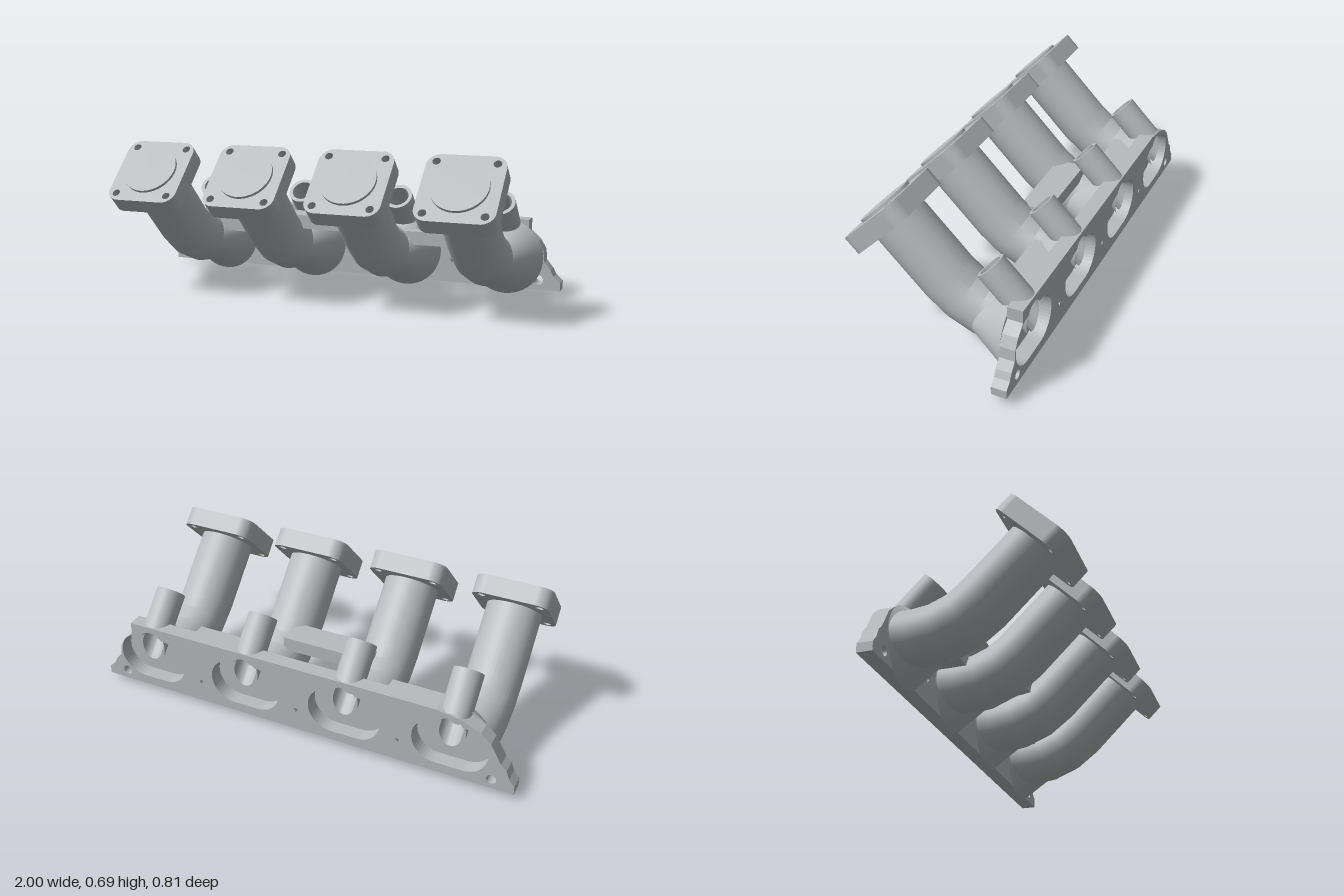
import * as THREE from 'three';
import { toCreasedNormals } from 'three/addons/utils/BufferGeometryUtils.js';

const castMetal = new THREE.MeshStandardMaterial({ color: 0xb8bcbf });
const RUNNERS = [-0.76, -0.275, 0.21, 0.695];
const PORT_SHIFT = 0.05; // ports sit slightly to one side of the pipes

function add(parent, name, geometry, x = 0, y = 0, z = 0) {
  const mesh = new THREE.Mesh(geometry, castMetal);
  mesh.name = name;
  mesh.position.set(x, y, z);
  parent.add(mesh);
  return mesh;
}

function hole(x, y, r, sides = 20) {
  const pts = [];
  for (let i = 0; i < sides; i++) {
    const a = -Math.PI / 2 + (i / sides) * Math.PI * 2;
    pts.push(new THREE.Vector2(x + r * Math.cos(a), y + r * Math.sin(a)));
  }
  return new THREE.Path(pts);
}

function extrude(shape, depth) {
  return new THREE.ExtrudeGeometry(shape, { depth, bevelEnabled: false, curveSegments: 12 });
}

// Curved pipe: rows of a cylinder are moved onto stations of the bend
function pipeGeometry() {
  const r = 0.123, R = 0.386;
  const stations = [[0.23, 0.516, Math.PI / 4]];
  for (let i = 3; i >= 0; i--) {
    const a = (i * Math.PI) / 12;
    stations.push([-0.269 + R * Math.sin(a), 0.563 - R * Math.cos(a), a]);
  }
  stations.push([-0.34, 0.177, 0]);
  const n = stations.length - 1;
  const g = new THREE.CylinderGeometry(r, r, 1, 40, n, true);
  const p = g.attributes.position;
  for (let i = 0; i < p.count; i++) {
    const [z, y, a] = stations[Math.round((0.5 - p.getY(i)) * n)];
    const w = p.getZ(i);
    p.setXYZ(i, p.getX(i), y - w * Math.cos(a), z + w * Math.sin(a));
  }
  return toCreasedNormals(g, 0.2);
}

// Square mounting flange with rounded corners and four bolt holes
function flangeGeometry() {
  const h = 0.1725, c = 0.06, k = h - c;
  const s = new THREE.Shape();
  s.absarc(k, k, c, 0, Math.PI / 2);
  s.absarc(-k, k, c, Math.PI / 2, Math.PI);
  s.absarc(-k, -k, c, Math.PI, Math.PI * 1.5);
  s.absarc(k, -k, c, Math.PI * 1.5, Math.PI * 2);
  for (const x of [-0.13, 0.13]) for (const y of [-0.134, 0.134]) s.holes.push(hole(x, y, 0.018));
  return extrude(s, 0.085);
}

// Hollow injector tube, its lower end cut off in the plane of the plate
function injectorGeometry() {
  const g = new THREE.LatheGeometry(
    [[0.067, -1], [0.067, 0], [0.05, 0], [0.05, -1]].map(([x, y]) => new THREE.Vector2(x, y)), 32);
  const p = g.attributes.position;
  const lower = Array.from({ length: p.count }, (_, i) => p.getY(i) < -0.5);
  g.rotateX(Math.PI / 4);
  g.translate(0, 0.4425, -0.2125);
  for (let i = 0; i < p.count; i++) {
    if (!lower[i]) continue;
    const t = -0.4 - p.getZ(i);
    p.setY(i, p.getY(i) + t);
    p.setZ(i, -0.4);
  }
  return toCreasedNormals(g, 0.5);
}

// Oval port opening with a small bump at the top for the injector
function portPath(x) {
  const y = 0.185, r = 0.11, k = 0.06;
  const p = new THREE.Path();
  p.absarc(x + k, y, r, -Math.PI / 2, Math.PI / 2);
  p.lineTo(x + 0.052, y + r);
  p.quadraticCurveTo(x + 0.04, 0.324, x, 0.324);
  p.quadraticCurveTo(x - 0.04, 0.324, x - 0.052, y + r);
  p.absarc(x - k, y, r, Math.PI / 2, Math.PI * 1.5);
  p.closePath();
  return p;
}

function plateGeometry() {
  const s = new THREE.Shape([
    [-1, 0.03], [1, 0.03], [1, 0.068], [0.97, 0.095], [0.955, 0.125], [0.925, 0.16],
    [0.92, 0.21], [0.895, 0.255], [0.85, 0.295], [0.85, 0.352], [-0.64, 0.352],
    [-0.75, 0.335], [-0.84, 0.295], [-0.885, 0.255], [-0.935, 0.165], [-0.96, 0.14],
    [-0.975, 0.1], [-1, 0.07],
  ].map(([x, y]) => new THREE.Vector2(x, y)));
  for (const x of RUNNERS) s.holes.push(portPath(x + PORT_SHIFT));
  for (const x of [-0.9, 0.9]) s.holes.push(hole(x, 0.075, 0.022));
  for (const x of [-0.48, 0.005, 0.49]) s.holes.push(hole(x, 0.135, 0.013, 3));
  return extrude(s, 0.068);
}

export function createModel() {
  const model = new THREE.Group();
  model.name = 'intakeManifold';

  add(model, 'headPlate', plateGeometry(), 0, 0, -0.403);

  const pipe = pipeGeometry();
  const flange = flangeGeometry();
  const injector = injectorGeometry();
  const boss = new THREE.CylinderGeometry(0.124, 0.124, 0.03, 48);
  boss.rotateX(Math.PI / 2);
  // Cone flaring from the pipe to the plate
  const cone = new THREE.CylinderGeometry(0.047, 0.175, 0.215, 48);
  cone.rotateX(Math.PI / 2);

  RUNNERS.forEach((x, i) => {
    const runner = new THREE.Group();
    runner.name = 'runner' + (i + 1);
    runner.position.x = x;
    model.add(runner);
    add(runner, 'pipe', pipe);
    add(runner, 'portCone', cone, PORT_SHIFT, 0.175, -0.2275);
    add(runner, 'injectorTube', injector, PORT_SHIFT);
    const head = new THREE.Group();
    head.name = 'inletFlange';
    head.position.set(0, 0.5085, 0.2225);
    head.rotation.x = -Math.PI / 4;
    runner.add(head);
    add(head, 'flange', flange);
    add(head, 'boss', boss, 0, 0, 0.083);
  });

  // Ribs joining the outer pairs of pipes to the plate
  for (const x of [-0.5175, 0.4525]) {
    add(model, 'rib', new THREE.BoxGeometry(0.3, 0.062, 0.14), x, 0.253, -0.27);
  }

  // Chamfered bridge between the two middle pipes
  const bridge = new THREE.Shape([
    [-0.255, 0.2], [-0.255, 0.115], [-0.195, 0.07], [0.12, 0.07], [0.165, 0.11], [0.165, 0.2],
  ].map(([x, y]) => new THREE.Vector2(x, y)));
  const bridgeGeometry = extrude(bridge, 0.063);
  bridgeGeometry.rotateX(-Math.PI / 2);
  add(model, 'bridge', bridgeGeometry, 0, 0.285, 0);

  return model;
}
